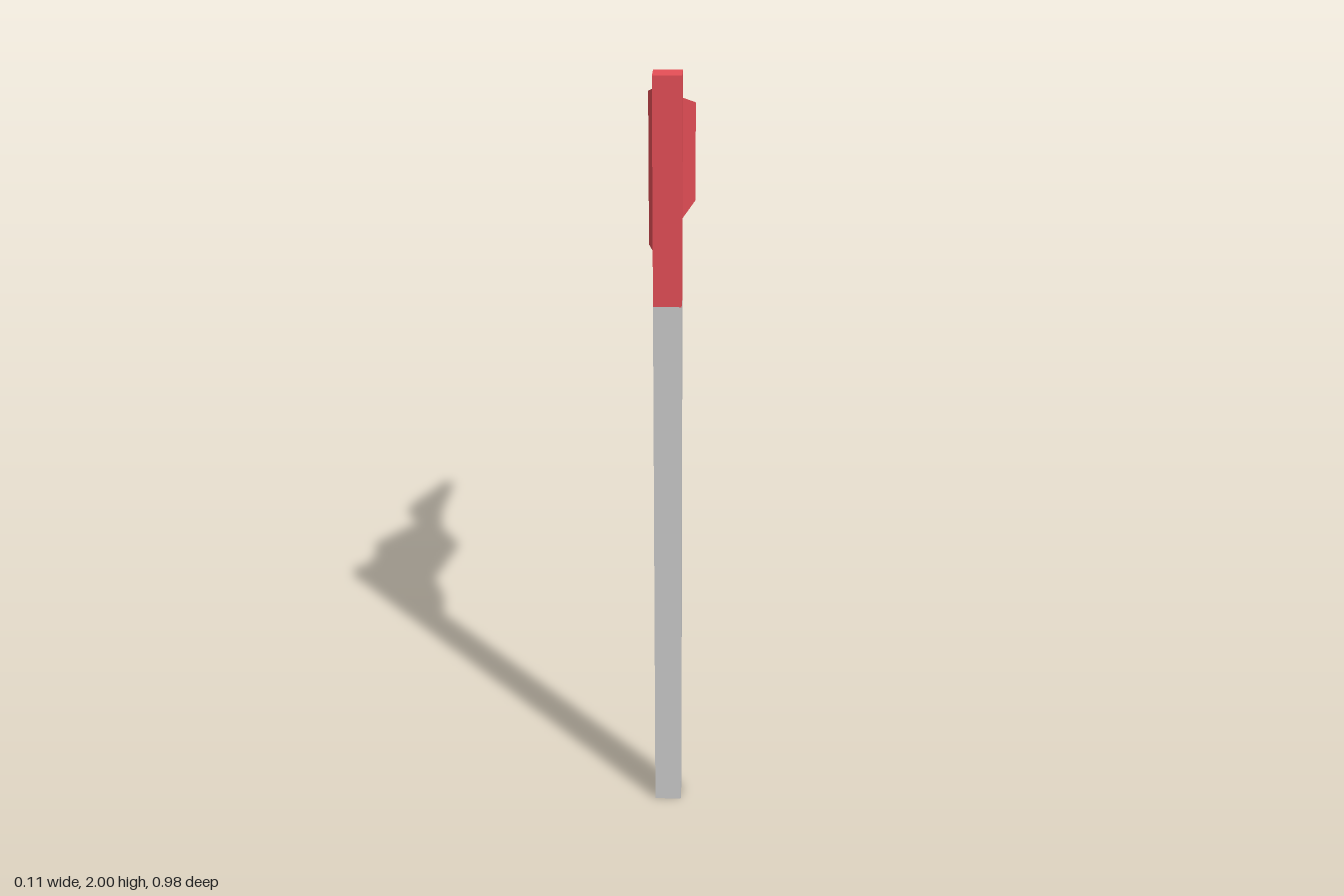
import * as THREE from 'three';

const GREY = new THREE.MeshStandardMaterial({ color: 0xcccccc, flatShading: true });
const RED = new THREE.MeshStandardMaterial({ color: 0xe64f57, flatShading: true });

// Square post section standing between two heights
function post(name, y0, y1, material) {
  const mesh = new THREE.Mesh(new THREE.BoxGeometry(0.07, y1 - y0, 0.07), material);
  mesh.position.set(0, (y0 + y1) / 2, 0.455);
  mesh.name = name;
  return mesh;
}

// Rippling pennant: rectangular sections swept back, tapering to an edge
function pennantGeometry() {
  const zStart = 0.42, zTip = -0.49, halfThick = 0.019;
  // [z, sideways offset] of each fold
  const folds = [
    [zStart, 0], [0.308, 0], [0.196, -0.039], [-0.032, 0.038],
    [-0.148, -0.037], [-0.26, -0.039], [zTip, 0],
  ];
  const sections = folds.map(([z, x]) => {
    const t = (zStart - z) / (zStart - zTip);
    const bottom = THREE.MathUtils.lerp(1.45, 1.67, t);
    const top = THREE.MathUtils.lerp(1.98, 1.67, t);
    return [
      [x - halfThick, bottom, z], [x + halfThick, bottom, z],
      [x + halfThick, top, z], [x - halfThick, top, z],
    ];
  });

  const positions = [];
  const quad = (a, b, c, d) => positions.push(...a, ...b, ...c, ...a, ...c, ...d);
  quad(...sections[0]);
  for (let i = 0; i < sections.length - 1; i++) {
    const near = sections[i], far = sections[i + 1];
    for (let j = 0; j < 4; j++) {
      const k = (j + 1) % 4;
      quad(near[j], far[j], far[k], near[k]);
    }
  }
  const geometry = new THREE.BufferGeometry();
  geometry.setAttribute('position', new THREE.Float32BufferAttribute(positions, 3));
  geometry.computeVertexNormals();
  return geometry;
}

export function createModel() {
  const group = new THREE.Group();
  group.name = 'pennantFlag';

  const pennant = new THREE.Mesh(pennantGeometry(), RED);
  pennant.name = 'pennant';

  group.add(post('pole', 0, 1.435, GREY), post('sleeve', 1.435, 2, RED), pennant);
  return group;
}
